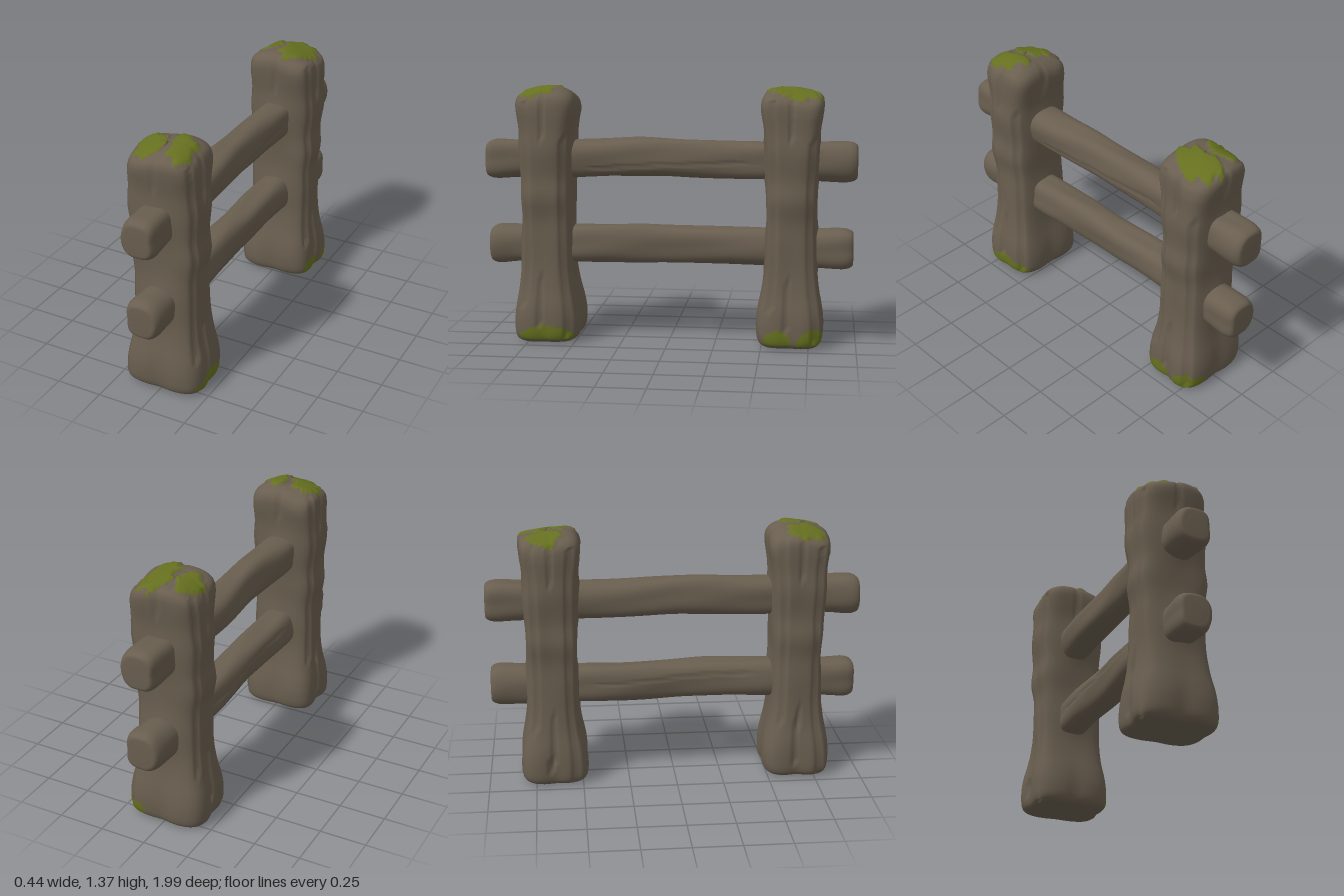
import * as THREE from 'three';

const wood = new THREE.MeshStandardMaterial({ color: 0x695e4f });
wood.name = 'weathered wood';
const moss = new THREE.MeshStandardMaterial({ color: 0x66701f });
moss.name = 'moss';

// Skin over a stack of [height, half x, half z] sections, rounded to a soft rectangle.
// shape(point, angle) roughens each point; isMoss(point) picks the mossy faces.
function loft(sections, power, shape, isMoss = () => false) {
  const n = 64, steps = 4;
  const curve = new THREE.CatmullRomCurve3(
    sections.map(([y, hx, hz]) => new THREE.Vector3(hx, y, hz)), false, 'centripetal');
  const rows = (sections.length - 1) * steps;
  const points = [];
  for (let j = 0; j <= rows; j++) {
    const s = curve.getPoint(j / rows);
    for (let i = 0; i < n; i++) {
      const a = (i / n) * Math.PI * 2, c = Math.cos(a), d = Math.sin(a);
      const r = (Math.abs(c) ** power + Math.abs(d) ** power) ** (-1 / power);
      const p = new THREE.Vector3(s.x * c * r, s.y, s.z * d * r);
      shape(p, a);
      points.push(p);
    }
  }
  const plain = [], mossy = [], mid = new THREE.Vector3();
  const face = (a, b, c) => {
    mid.copy(points[a]).add(points[b]).add(points[c]).divideScalar(3);
    (isMoss(mid) ? mossy : plain).push(a, b, c);
  };
  for (let j = 0; j < rows; j++) {
    for (let i = 0; i < n; i++) {
      const a = j * n + i, b = j * n + (i + 1) % n;
      face(a, a + n, b);
      face(b, a + n, b + n);
    }
  }
  const geo = new THREE.BufferGeometry().setFromPoints(points);
  geo.setIndex([...plain, ...mossy]);
  geo.addGroup(0, plain.length, 0);
  geo.addGroup(plain.length, mossy.length, 1);
  geo.computeVertexNormals();
  return geo;
}

const bump = (v, centre, width) => Math.exp(-(((v - centre) / width) ** 2));
const angleGap = (a, b) => Math.abs(Math.atan2(Math.sin(a - b), Math.cos(a - b)));

const postSections = [
  [0.01, 0, 0], [0.012, 0.1, 0.08], [0.014, 0.185, 0.145], [0.04, 0.212, 0.172], [0.12, 0.217, 0.18],
  [0.2, 0.21, 0.172], [0.3, 0.19, 0.152], [0.42, 0.178, 0.135], [0.56, 0.176, 0.13],
  [0.68, 0.174, 0.13], [0.79, 0.19, 0.134], [0.9, 0.18, 0.133], [1.04, 0.192, 0.14],
  [1.15, 0.184, 0.146], [1.28, 0.182, 0.163], [1.32, 0.168, 0.152], [1.345, 0.125, 0.115],
  [1.357, 0.06, 0.05], [1.36, 0, 0],
];

// cracks: [angle, lowest y, highest y, depth]
const cracks = [
  [0, 1.1, 1.36, 0.018], [0.1, 0.1, 0.36, 0.016], [Math.PI, 1.12, 1.36, 0.016],
  [3.2, 0.08, 0.4, 0.016], [0.59, 0.2, 1.32, 0.016], [2.55, 0.02, 1.3, 0.016],
  [3.73, 0.3, 1.34, 0.016], [5.6, 0.04, 1.1, 0.016], [1.57, 1.16, 1.36, 0.014],
  [4.71, 1.2, 1.36, 0.016],
];

function makePost(z0, seed, isMoss) {
  const geo = loft(postSections, 4.2, (p, a) => {
    const y = p.y;
    const edge = Math.min(1, Math.hypot(p.x, p.z) / 0.13);
    // gentle waves in the bark
    let k = 1 + edge * (0.015 * Math.sin(3 * a + 7 * y + seed) + 0.012 * Math.sin(5 * a - 11 * y + 2 * seed));
    // spreading roots: fuller corners, hollow faces
    k -= 0.05 * bump(y, 0.08, 0.16) * Math.cos(4 * a) ** 2 * (Math.cos(4 * a) > 0 ? 1 : 0) * edge;
    for (const [ca, lo, hi, depth] of cracks) {
      if (y > lo && y < hi && angleGap(a, ca + 0.03 * Math.sin(9 * y + seed)) < 0.055) k -= edge * depth * 5;
    }
    p.x *= k;
    p.z *= k;
    // collars where the rails pass through
    const collar = bump(p.x, 0, 0.1) * (bump(y, 0.98, 0.12) + bump(y, 0.53, 0.12));
    p.z += Math.sign(p.z) * 0.022 * collar * edge * Math.abs(Math.sin(a));
    // lumpy crown
    if (y > 1.25) p.y += 0.012 * Math.sin(17 * p.x + seed) + 0.012 * Math.cos(19 * p.z + seed * 2) * edge;
    if (y > 1.3 && isMoss(p)) p.y += 0.01;
  }, isMoss);
  const mesh = new THREE.Mesh(geo, [wood, moss]);
  mesh.position.z = z0;
  return mesh;
}

// ragged oval patch test on the crown
const patch = (p, x, z, rx, rz) =>
  ((p.x - x) / rx) ** 2 + ((p.z - z) / rz) ** 2 < 1 + 0.3 * Math.sin(70 * p.x + 45 * p.z);
// ragged band low on the +x side
const lowBand = (p, from, to, top) => {
  const t = (p.z - from) / (to - from);
  return p.x > 0.1 && t > 0 && t < 1 && p.y > 0.03 && p.y < 0.045 + (top - 0.045) * Math.sin(Math.PI * t) ** 0.5;
};

const frontMoss = (p) => p.y > 1.3
  ? patch(p, -0.08, 0.03, 0.075, 0.1) || patch(p, 0.09, 0.03, 0.06, 0.1) || patch(p, 0.05, -0.05, 0.035, 0.05)
  : lowBand(p, -0.16, 0.13, 0.11);
const backMoss = (p) => p.y > 1.3
  ? patch(p, -0.11, -0.03, 0.06, 0.09) || patch(p, 0.06, -0.01, 0.085, 0.14)
  : lowBand(p, -0.01, 0.14, 0.115) || lowBand(p, -0.19, -0.04, 0.12);

// Rails are lofted upright, then laid along z.
function makeRail(y0, half, seed) {
  const sections = [
    [-half, 0, 0], [-half + 0.001, 0.05, 0.06], [-half + 0.006, 0.08, 0.09], [-half + 0.04, 0.094, 0.105],
    [-0.84, 0.096, 0.104], [-0.66, 0.088, 0.096], [-0.48, 0.086, 0.099], [-0.3, 0.086, 0.098],
    [-0.12, 0.084, 0.099], [0.03, 0.08, 0.1], [0.16, 0.084, 0.103], [0.32, 0.09, 0.1],
    [0.48, 0.094, 0.101], [0.66, 0.088, 0.096], [0.84, 0.092, 0.1], [half - 0.04, 0.092, 0.104],
    [half - 0.006, 0.078, 0.088], [half - 0.001, 0.05, 0.06], [half, 0, 0],
  ];
  const geo = loft(sections, 2.9, (p, a) => {
    const k = 1 + 0.025 * Math.sin(3 * a + 5 * p.y + seed) + 0.02 * Math.sin(5 * a - 8 * p.y + seed);
    // split running along the flank
    const split = Math.abs(p.y) < 0.4 && angleGap(a, 0.5 * p.y + seed) < 0.055 ? 0.93 : 1;
    p.x = p.x * k * split - 0.012 * bump(p.y, -0.3, 0.2) + 0.012 * bump(p.y, -0.95, 0.15);
    p.z = p.z * k * split - 0.01 * bump(p.y, 0.12, 0.25) + 0.008 * bump(p.y, 1, 0.2);
  });
  geo.rotateX(Math.PI / 2);
  const mesh = new THREE.Mesh(geo, [wood, moss]);
  mesh.position.y = y0;
  return mesh;
}

export function createModel() {
  const fence = new THREE.Group();
  fence.name = 'fence';
  const parts = {
    frontPost: makePost(0.66, 0.6, frontMoss),
    backPost: makePost(-0.65, 2.1, backMoss),
    upperRail: makeRail(0.99, 0.995, 0.3),
    lowerRail: makeRail(0.525, 0.98, 3.4),
  };
  for (const [name, mesh] of Object.entries(parts)) {
    mesh.name = name;
    fence.add(mesh);
  }
  return fence;
}
